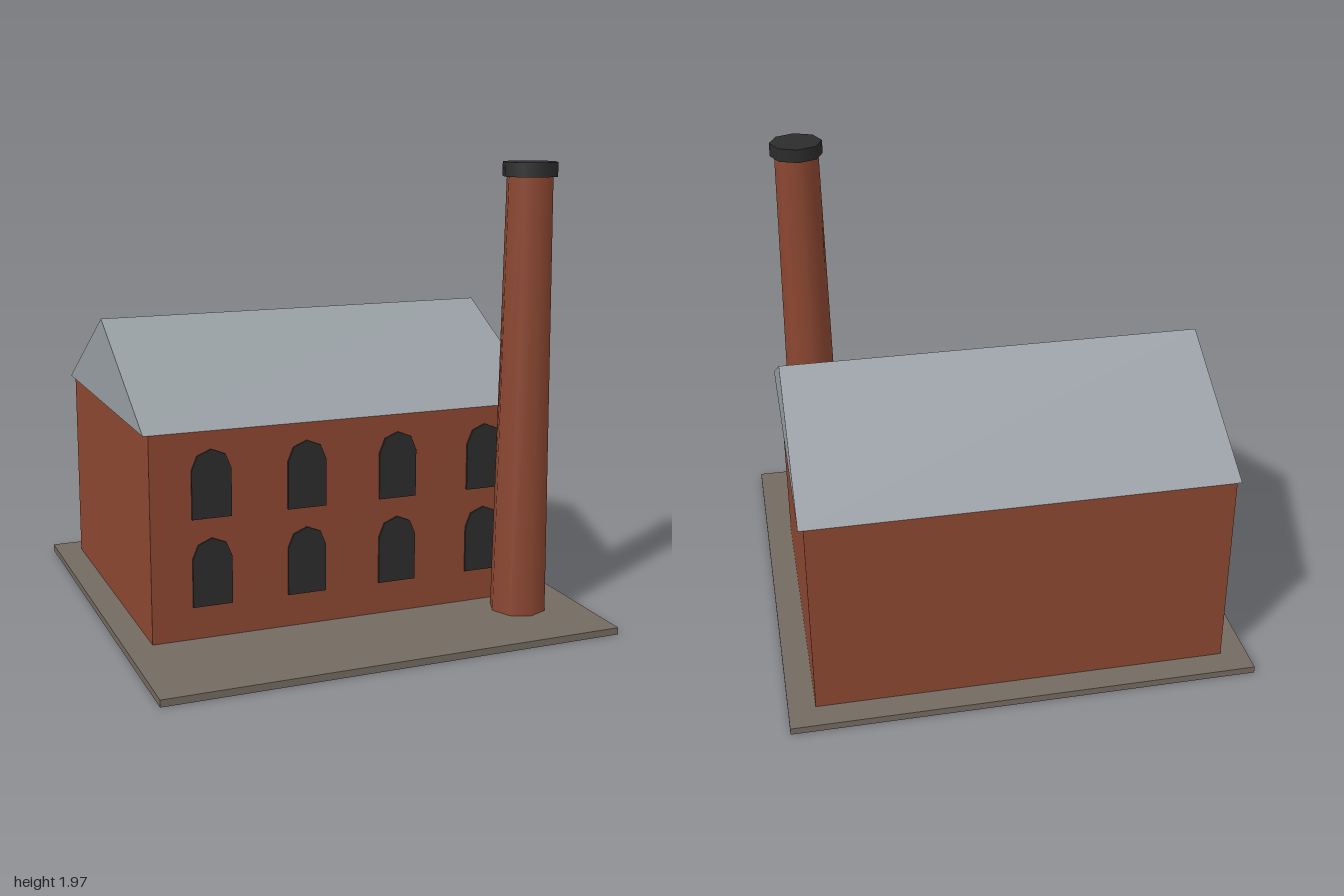
import * as THREE from 'three';

const mat = (name, color) => new THREE.MeshStandardMaterial({ name, color });

export function createModel() {
  const brick = mat('brick', 0x8c4731);
  const slate = mat('roofGrey', 0x979ea3);
  const dark = mat('charcoal', 0x2c2c2c);
  const earth = mat('ground', 0x736a60);

  const model = new THREE.Group();
  model.name = 'factory';
  const add = (name, geometry, material, x, y, z) => {
    const mesh = new THREE.Mesh(geometry, material);
    mesh.name = name;
    mesh.position.set(x, y, z);
    model.add(mesh);
    return mesh;
  };

  const baseTop = 0.03, eaves = 0.91, ridge = 1.285;
  const front = 0.47, back = -0.885, midZ = (front + back) / 2, depth = front - back;

  // Yard slab and main hall
  add('baseSlab', new THREE.BoxGeometry(2, baseTop, 2), earth, 0, baseTop / 2, 0);
  add('hall', new THREE.BoxGeometry(1.77, eaves - baseTop, depth), brick, 0, (eaves + baseTop) / 2, midZ);

  // Gabled roof: a triangular prism running along x
  const gable = new THREE.Shape([
    new THREE.Vector2(-depth / 2, 0),
    new THREE.Vector2(depth / 2, 0),
    new THREE.Vector2(0, ridge - eaves),
  ]);
  const roofLength = 1.812;
  const roof = new THREE.ExtrudeGeometry(gable, { depth: roofLength, bevelEnabled: false });
  roof.translate(0, 0, -roofLength / 2).rotateY(Math.PI / 2);
  add('roof', roof, slate, 0, eaves, midZ);

  // Arched windows: two rows of four on the front wall
  const r = 0.085, spring = 0.205;
  const arch = [new THREE.Vector2(-r, 0), new THREE.Vector2(r, 0)];
  for (let i = 0; i <= 4; i++) {
    const a = (i / 4) * Math.PI;
    arch.push(new THREE.Vector2(r * Math.cos(a), spring + r * Math.sin(a)));
  }
  const pane = new THREE.ExtrudeGeometry(new THREE.Shape(arch), { depth: 0.009, bevelEnabled: false });
  for (const y of [0.17, 0.545]) {
    for (const x of [-0.625, -0.208, 0.208, 0.625]) add('window', pane, dark, x, y, front);
  }

  // Tapered octagonal chimney with its cap
  const cx = 0.727, cz = 0.622, stackTop = 1.91, capHeight = 0.06;
  add('chimney', new THREE.CylinderGeometry(0.099, 0.123, stackTop - baseTop, 8), brick,
    cx, (stackTop + baseTop) / 2, cz);
  add('chimneyCap', new THREE.CylinderGeometry(0.118, 0.118, capHeight, 8), dark,
    cx, stackTop + capHeight / 2, cz);

  return model;
}
